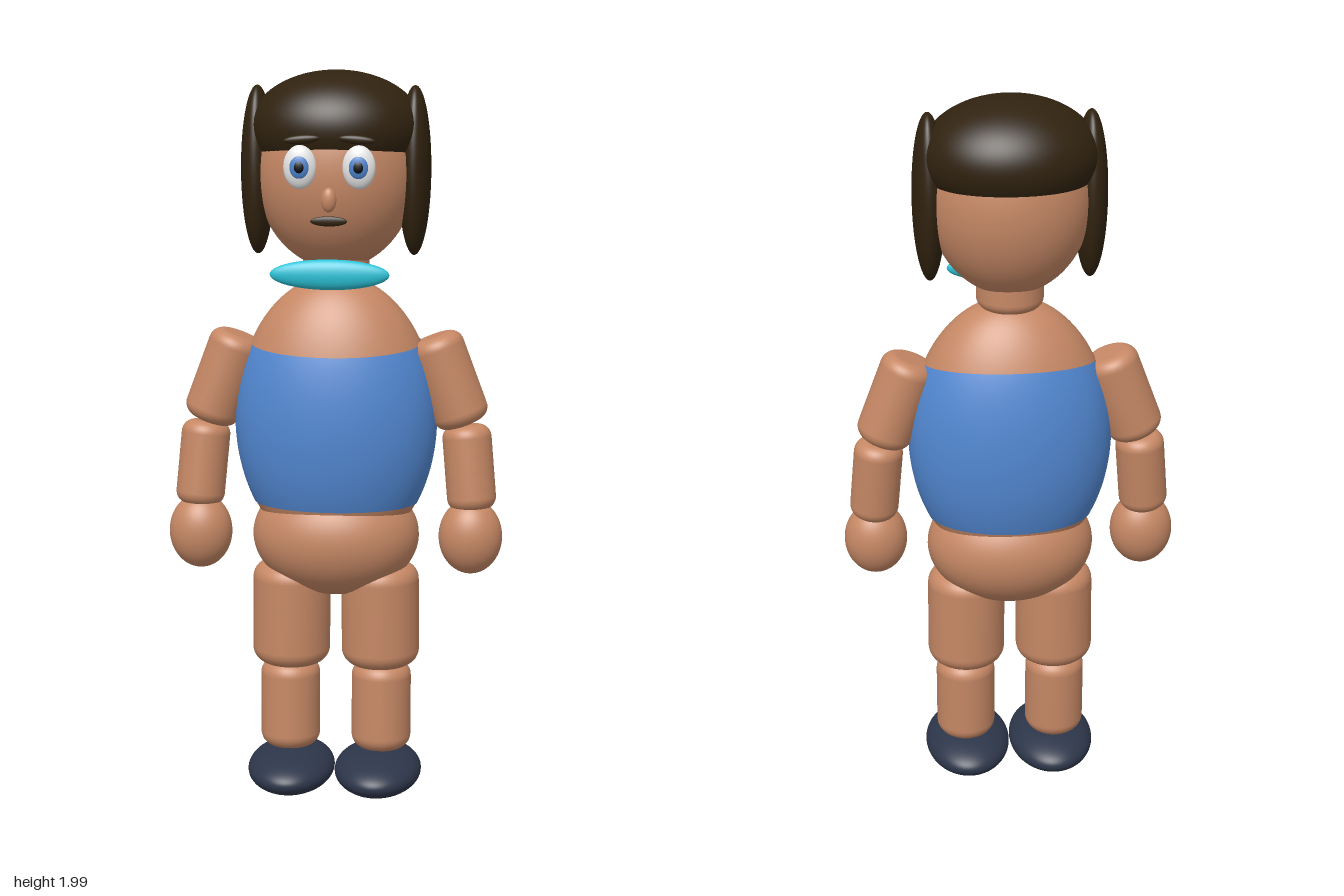
import * as THREE from 'three';

const mat = (name, color) => {
  const m = new THREE.MeshStandardMaterial({ color });
  m.name = name;
  return m;
};

export function createModel() {
  const skin = mat('skin', 0xc68865);
  const shirtBlue = mat('shirt blue', 0x5288d2);
  const hairBrown = mat('dark brown hair', 0x30220f);
  const shoeNavy = mat('navy shoe', 0x2d364a);
  const teal = mat('teal', 0x2cc3d8);
  const eyeWhite = mat('eye white', 0xf0f0f0);
  const irisBlue = mat('iris blue', 0x4a80c8);
  const black = mat('pupil black', 0x0c0c12);

  const model = new THREE.Group();
  model.name = 'figure';
  const ball = new THREE.SphereGeometry(1, 64, 48);

  const add = (name, geometry, material, pos, rot = [0, 0, 0]) => {
    const mesh = new THREE.Mesh(geometry, material);
    mesh.name = name;
    mesh.position.set(...pos);
    mesh.rotation.set(...rot);
    model.add(mesh);
    return mesh;
  };
  const ellipsoid = (name, material, pos, radii, rot) => {
    const mesh = add(name, ball, material, pos, rot);
    mesh.scale.set(...radii);
    return mesh;
  };

  // Cylinder with rounded rims, used for every limb segment
  const roundedCylinder = (r, h, c) => {
    const pts = [new THREE.Vector2(0, -h / 2)];
    for (const end of [-1, 1]) {
      for (let i = 0; i <= 8; i++) {
        const a = (end < 0 ? i - 8 : i) / 8 * Math.PI / 2;
        pts.push(new THREE.Vector2(r - c + c * Math.cos(a), end * (h / 2 - c) + c * Math.sin(a)));
      }
    }
    pts.push(new THREE.Vector2(0, h / 2));
    return new THREE.LatheGeometry(pts, 40);
  };

  // Torso, hips and neck
  const torsoPos = [0, 1.06, -0.008], torsoRadii = [0.275, 0.395, 0.191];
  ellipsoid('torso', skin, torsoPos, torsoRadii);
  ellipsoid('hips', skin, [0, 0.735, -0.008], [0.23, 0.17, 0.176]);
  add('neck', roundedCylinder(0.09, 0.14, 0.03), skin, [0, 1.5, -0.008]);

  // Strapless top: a band over the torso, with its upper edge rising to the back
  const band = new THREE.CylinderGeometry(1, 1, 1, 64, 24, true);
  const p = band.attributes.position;
  for (let i = 0; i < p.count; i++) {
    const x = p.getX(i), z = p.getZ(i);
    const y = THREE.MathUtils.lerp(-0.582, 0.54 - 0.057 * z, p.getY(i) + 0.5);
    const r = Math.sqrt(1 - y * y);
    p.setXYZ(i, x * r, y, z * r);
    band.attributes.normal.setXYZ(i, x * r, y, z * r);
  }
  const shirt = add('shirt', band, shirtBlue, torsoPos);
  shirt.scale.set(...torsoRadii.map((v) => v * 1.008));
  shirtBlue.side = THREE.DoubleSide;

  // Head, hair cap, nose, mouth and neck ornament
  ellipsoid('head', skin, [0, 1.73, -0.01], [0.215, 0.258, 0.19]);
  ellipsoid('hairCap', hairBrown, [0, 1.848, -0.014], [0.232, 0.152, 0.197]);
  ellipsoid('nose', skin, [0, 1.672, 0.195], [0.02, 0.032, 0.016]);
  ellipsoid('mouth', hairBrown, [0, 1.617, 0.197], [0.048, 0.013, 0.006]);
  ellipsoid('neckOrnament', teal, [0, 1.476, 0.178], [0.157, 0.04, 0.023]);

  // Limb geometries shared by both sides
  const upperArm = roundedCylinder(0.077, 0.255, 0.035);
  const forearm = roundedCylinder(0.067, 0.235, 0.035);
  const thigh = roundedCylinder(0.108, 0.29, 0.045);
  const shin = roundedCylinder(0.083, 0.25, 0.04);

  for (const s of [1, -1]) {
    const side = s > 0 ? 'left' : 'right';

    // Side hair and face
    ellipsoid(side + 'SideHair', hairBrown, [s * 0.211, 1.735, -0.008], [0.044, 0.225, 0.088]);
    ellipsoid(side + 'Eye', eyeWhite, [s * 0.077, 1.755, 0.177], [0.043, 0.057, 0.021]);
    ellipsoid(side + 'Iris', irisBlue, [s * 0.077, 1.755, 0.194], [0.025, 0.029, 0.007]);
    ellipsoid(side + 'Pupil', black, [s * 0.077, 1.755, 0.199], [0.013, 0.015, 0.004]);
    ellipsoid(side + 'Brow', hairBrown, [s * 0.072, 1.826, 0.18], [0.048, 0.012, 0.01], [0, 0, -s * 0.08]);

    // Arm
    add(side + 'UpperArm', upperArm, skin, [s * 0.307, 1.17, -0.008], [0, 0, s * 0.36]);
    add(side + 'Forearm', forearm, skin, [s * 0.367, 0.932, 0.008], [-0.09, 0, s * 0.09]);
    ellipsoid(side + 'Hand', skin, [s * 0.373, 0.743, 0.026], [0.087, 0.104, 0.075]);

    // Leg
    add(side + 'Thigh', thigh, skin, [s * 0.124, 0.508, -0.006], [0, 0, s * 0.01]);
    add(side + 'Shin', shin, skin, [s * 0.128, 0.244, -0.003], [-0.03, 0, 0]);
    ellipsoid(side + 'Shoe', shoeNavy, [s * 0.122, 0.066, 0.031], [0.121, 0.06, 0.18]);
  }
  return model;
}
